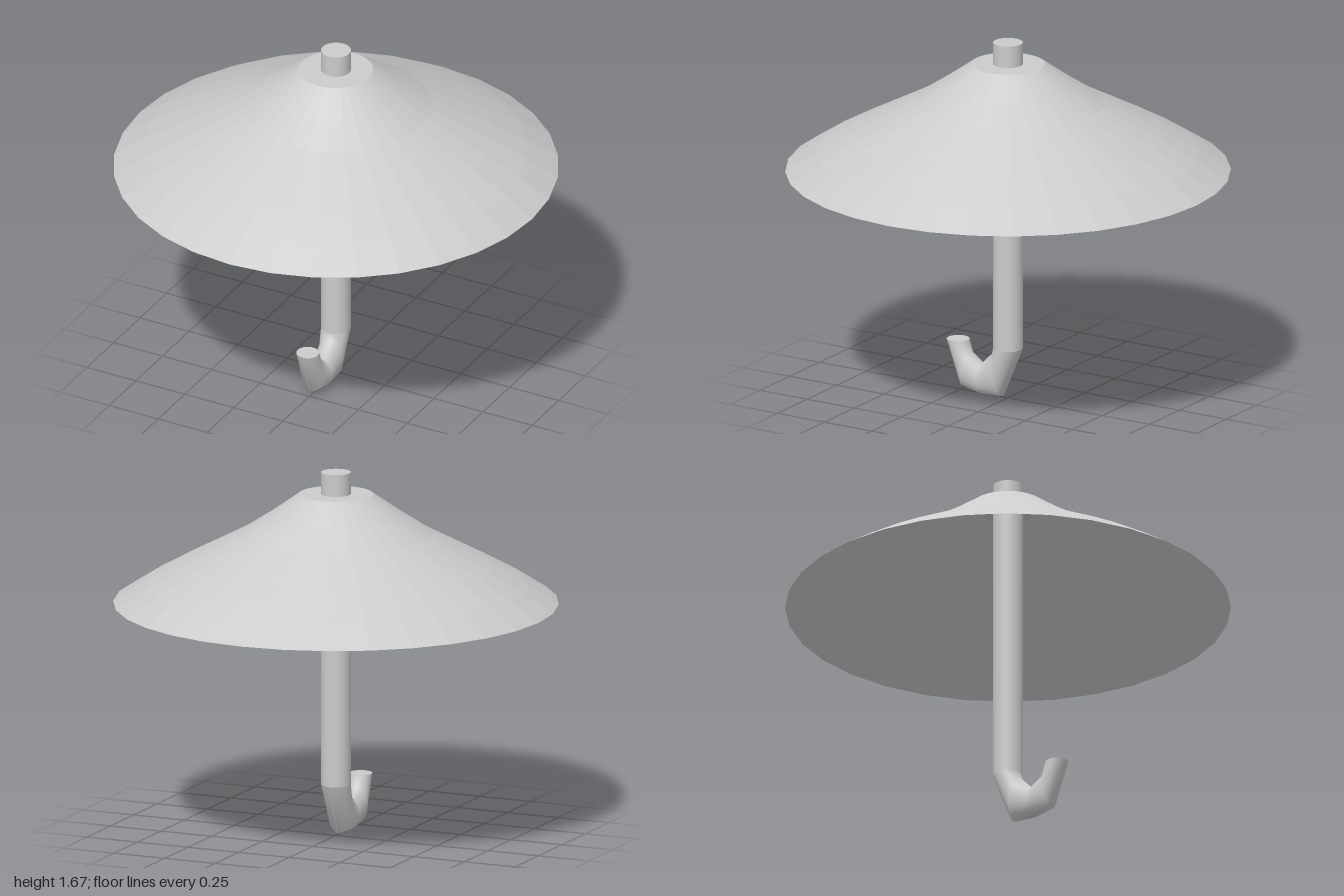
import * as THREE from 'three';

const SIDES = 32;

function addMesh(group, name, geometry, options = {}) {
  const material = new THREE.MeshStandardMaterial({ color: 0xcccccc, ...options });
  const mesh = new THREE.Mesh(geometry, material);
  mesh.name = name;
  group.add(mesh);
  return mesh;
}

// Tube through elliptical rings lying across the yz plane, with a flat cap on the last ring.
// Each ring: outer [z, y], inner [z, y], half width in x.
function sweepRings(rings) {
  const positions = [];
  const indices = [];
  const row = SIDES + 1;
  const addRing = ({ outer, inner, half }) => {
    const cz = (outer[0] + inner[0]) / 2, cy = (outer[1] + inner[1]) / 2;
    for (let j = 0; j <= SIDES; j++) {
      const a = ((j % SIDES) / SIDES) * Math.PI * 2;
      positions.push(
        half * Math.sin(a),
        cy + (outer[1] - cy) * Math.cos(a),
        cz + (outer[0] - cz) * Math.cos(a)
      );
    }
    return [0, cy, cz];
  };
  rings.forEach(addRing);
  for (let i = 0; i < rings.length - 1; i++) {
    for (let j = 0; j < SIDES; j++) {
      const p = i * row + j, q = p + row;
      indices.push(p, p + 1, q, p + 1, q + 1, q);
    }
  }
  // cap with its own vertices so its edge stays sharp
  const start = rings.length * row;
  positions.push(...addRing(rings[rings.length - 1]));
  for (let j = 0; j < SIDES; j++) indices.push(start + row, start + j, start + j + 1);

  const geometry = new THREE.BufferGeometry();
  geometry.setAttribute('position', new THREE.Float32BufferAttribute(positions, 3));
  geometry.setIndex(indices);
  geometry.computeVertexNormals();
  return geometry;
}

export function createModel() {
  const group = new THREE.Group();
  group.name = 'umbrella';

  // Canopy: thin faceted shell, open below, flat on top
  const profile = [[1, 1.07], [0.86, 1.16], [0.71, 1.243], [0.43, 1.39], [0.3, 1.475], [0.167, 1.57], [0, 1.57]]
    .map(([r, y]) => new THREE.Vector2(r, y));
  addMesh(group, 'canopy', new THREE.LatheGeometry(profile, SIDES), {
    flatShading: true,
    side: THREE.DoubleSide,
  });

  // Straight shaft, poking out above the canopy
  const bottom = 0.235, top = 1.67, radius = 0.067;
  const shaft = addMesh(group, 'shaft', new THREE.CylinderGeometry(radius, radius, top - bottom, SIDES));
  shaft.position.y = (top + bottom) / 2;

  // Hooked handle, curling towards the front and tapering slightly
  addMesh(group, 'handle', sweepRings([
    { outer: [-radius, bottom], inner: [radius, bottom], half: radius },
    { outer: [0.028, 0.004], inner: [0.07, 0.208], half: 0.06 },
    { outer: [0.134, 0], inner: [0.138, 0.137], half: 0.056 },
    { outer: [0.237, 0.02], inner: [0.2, 0.187], half: 0.053 },
    { outer: [0.316, bottom], inner: [0.214, bottom], half: 0.052 },
  ]));

  return group;
}
